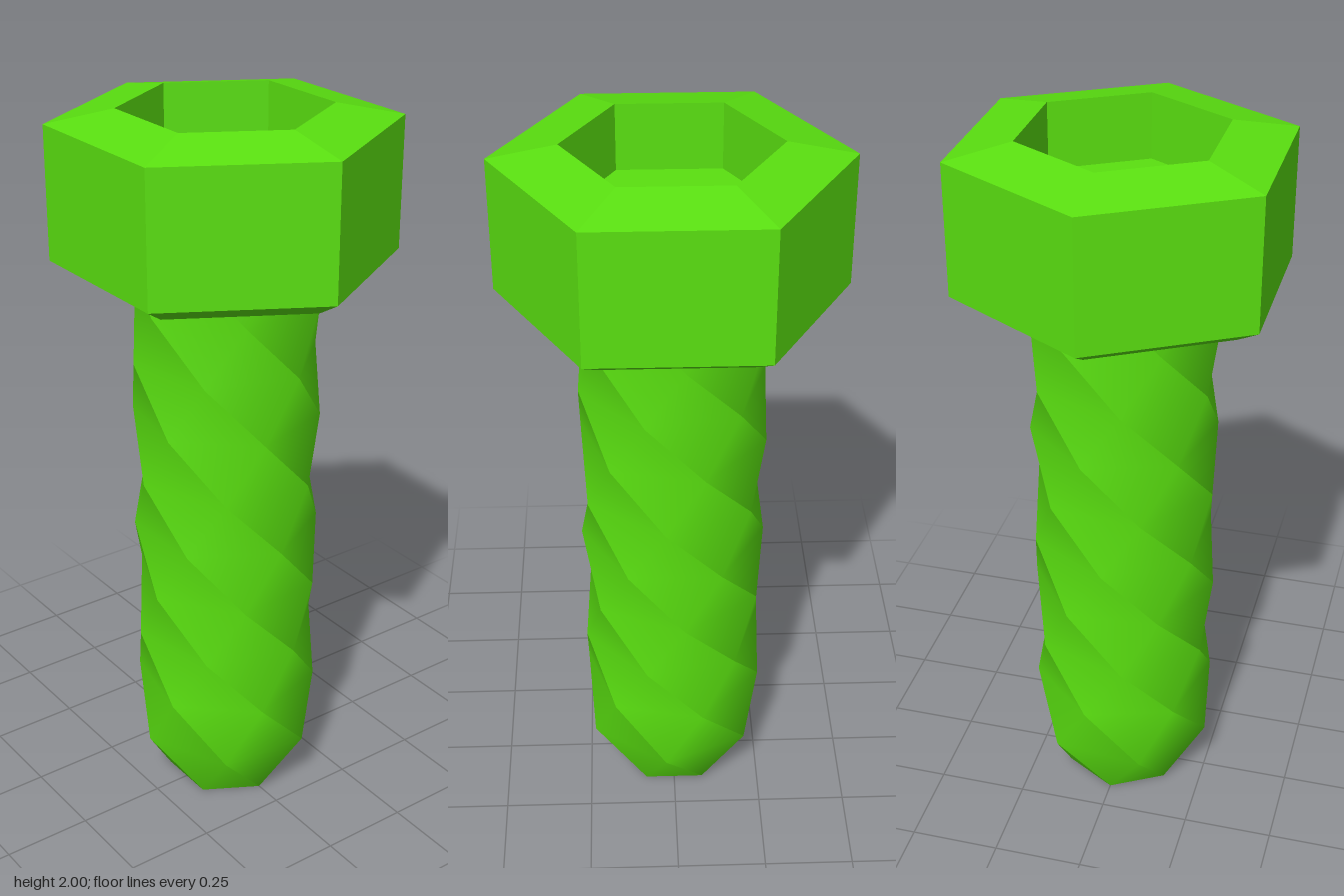
import * as THREE from 'three';

const SIDES = 6, STEPS = 10, STEP_H = 1 / 6, TWIST = -Math.PI / 5;
const SHAFT_R = 0.255, TIP_R = 0.167;

// One helical face of the shaft: smooth along its length, sharp at its borders
function twistedStrip(k) {
  const pos = [], idx = [];
  for (let i = 0; i <= STEPS; i++) {
    const r = i === 0 ? TIP_R : SHAFT_R;
    for (let c = 0; c < 2; c++) {
      const a = ((k + c) * Math.PI * 2) / SIDES + i * TWIST;
      pos.push(r * Math.sin(a), i * STEP_H, r * Math.cos(a));
    }
    if (i < STEPS) {
      const b = 2 * i;
      idx.push(b, b + 1, b + 3, b, b + 3, b + 2);
    }
  }
  const geo = new THREE.BufferGeometry();
  geo.setAttribute('position', new THREE.Float32BufferAttribute(pos, 3));
  geo.setIndex(idx);
  geo.computeVertexNormals();
  return geo;
}

export function createModel() {
  const group = new THREE.Group();
  group.name = 'bolt';
  const color = 0x5ae010;
  const flat = new THREE.MeshStandardMaterial({ color, flatShading: true });
  const smooth = new THREE.MeshStandardMaterial({ color });

  // Hexagonal head with chamfered underside, sloping top and key socket
  const profile = [
    [0, 1.57], [0.387, 1.57], [0.455, 1.61], [0.455, 1.965],
    [0.277, 2], [0.277, 1.82], [0, 1.82],
  ].map(([r, y]) => new THREE.Vector2(r, y));
  const head = new THREE.Mesh(new THREE.LatheGeometry(profile, SIDES), flat);
  head.name = 'head';
  group.add(head);

  // Twisted shaft
  const shaft = new THREE.Group();
  shaft.name = 'shaft';
  for (let k = 0; k < SIDES; k++) {
    const strip = new THREE.Mesh(twistedStrip(k), smooth);
    strip.name = 'threadFace';
    shaft.add(strip);
  }
  group.add(shaft);

  // Flat end of the tip, facing down
  const tip = new THREE.Mesh(new THREE.CircleGeometry(TIP_R, SIDES, Math.PI / 2), flat);
  tip.name = 'tip';
  tip.rotation.x = Math.PI / 2;
  group.add(tip);

  return group;
}
